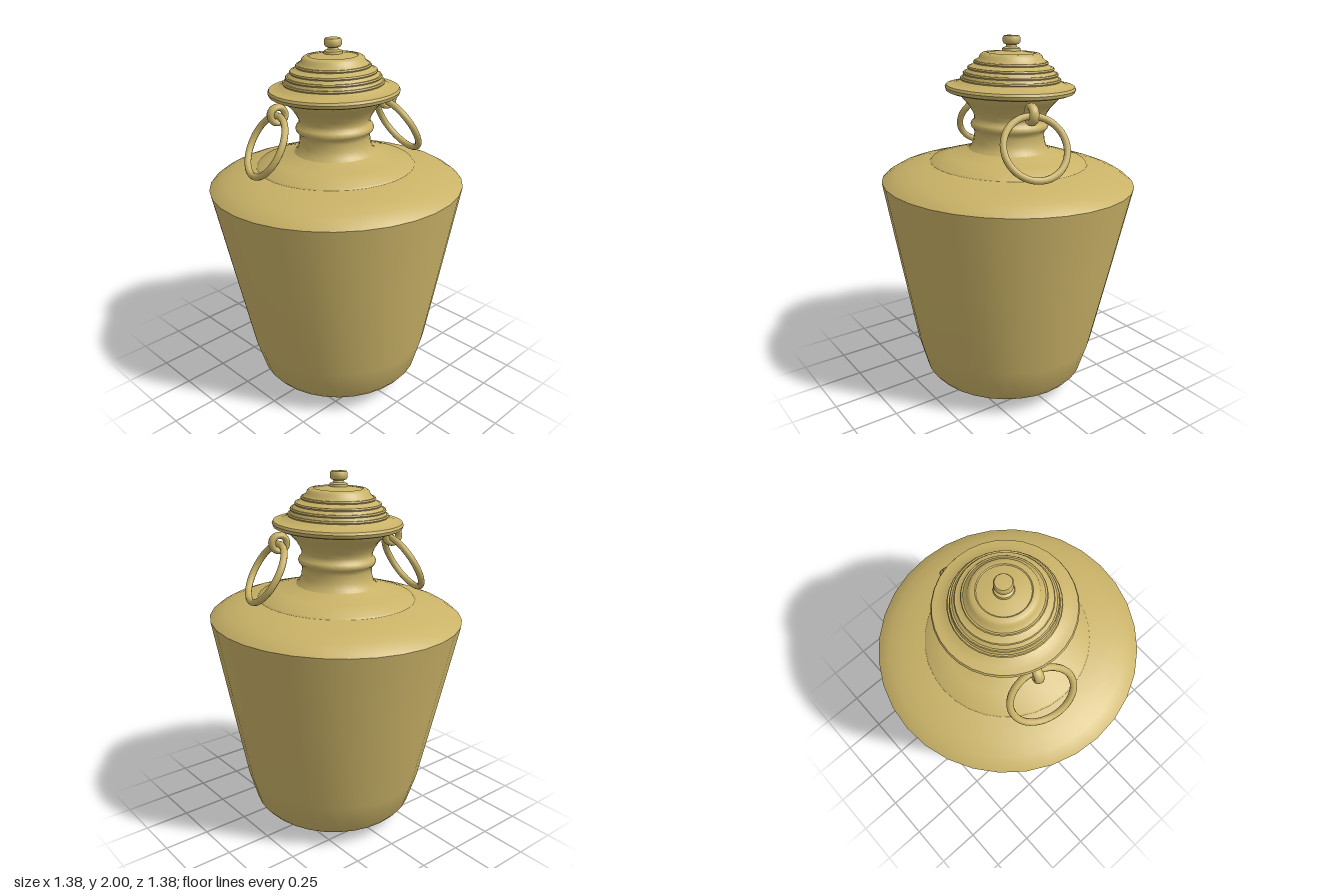
import * as THREE from 'three';
import { toCreasedNormals } from 'three/addons/utils/BufferGeometryUtils.js';

const brass = new THREE.MeshStandardMaterial({ color: 0xc9b267 });

function add(parent, name, geometry) {
  const mesh = new THREE.Mesh(geometry, brass);
  mesh.name = name;
  parent.add(mesh);
  return mesh;
}

// Turned part from [radius, height] pairs, listed from the bottom up.
// Creased at ten times the size so that fine ridges stay distinct.
function turned(profile, crease = 0.6) {
  const points = profile.map(([r, y]) => new THREE.Vector2(r * 10, y * 10));
  const geometry = toCreasedNormals(new THREE.LatheGeometry(points, 32), crease);
  return geometry.scale(0.1, 0.1, 0.1);
}

// Loose carrying ring hanging outwards from a lug under the lid
function carryingRing(name, turn) {
  const group = new THREE.Group();
  group.name = name;
  group.rotation.y = turn;
  const lug = add(group, 'lug', new THREE.TorusGeometry(0.04, 0.018, 10, 24));
  lug.rotation.y = Math.PI / 2;
  lug.scale.z = 1.4;
  lug.position.set(0, 1.645, 0.325);
  const ring = add(group, 'ring', new THREE.TorusGeometry(0.166, 0.018, 10, 40));
  ring.rotation.x = -0.53;
  ring.position.set(0, 1.492, 0.4);
  return group;
}

export function createModel() {
  const model = new THREE.Group();
  model.name = 'lidded jar';

  // The whole jar leans slightly to one side
  const jar = new THREE.Group();
  jar.name = 'jar';
  jar.rotation.z = 0.029;
  jar.position.x = 0.032;
  model.add(jar);

  // Tapered body with rounded foot and sloping shoulder
  add(jar, 'body', turned([
    [0, 0.008], [0.18, 0.008], [0.28, 0.03], [0.37, 0.065], [0.43, 0.1], [0.455, 0.13],
    [0.505, 0.3], [0.6, 0.78], [0.688, 1.23],
    [0.665, 1.25], [0.62, 1.277], [0.55, 1.303], [0.48, 1.322], [0.428, 1.333],
    [0.42, 1.342], [0.32, 1.372], [0.24, 1.395], [0.21, 1.41],
  ]));

  // Neck with a raised band, flaring out to the mouth
  add(jar, 'neck', turned([
    [0.23, 1.395], [0.205, 1.42], [0.193, 1.45], [0.188, 1.49], [0.192, 1.51],
    [0.204, 1.52], [0.21, 1.535], [0.204, 1.55], [0.192, 1.56], [0.19, 1.58],
    [0.2, 1.605], [0.222, 1.64], [0.25, 1.67], [0.275, 1.7], [0.28, 1.715],
  ], 0.9));

  // Domed lid with a broad rim and stepped ridges
  const lid = [
    [0, 1.705], [0.27, 1.705], [0.325, 1.708], [0.341, 1.715], [0.347, 1.732],
    [0.341, 1.745], [0.325, 1.748], [0.3, 1.752], [0.278, 1.762],
  ];
  for (const [r, y] of [[0.264, 1.78], [0.249, 1.808], [0.226, 1.836], [0.194, 1.866]]) {
    lid.push([r, y - 0.01], [r + 0.004, y - 0.003], [r, y + 0.004], [r - 0.008, y + 0.004]);
  }
  lid.push([0.168, 1.886], [0.163, 1.9], [0.15, 1.91], [0.13, 1.913],
    [0.125, 1.909], [0.1, 1.914], [0.05, 1.922], [0, 1.924]);
  add(jar, 'lid', turned(lid));

  // Knob on a short waisted stem
  add(jar, 'knob', turned([
    [0.05, 1.918], [0.047, 1.935], [0.03, 1.942], [0.026, 1.952], [0.04, 1.957],
    [0.046, 1.967], [0.046, 1.988], [0.04, 1.998], [0, 2.0],
  ]));

  // Front and back carrying rings, half a turn apart
  jar.add(carryingRing('frontRing', -0.28), carryingRing('backRing', Math.PI - 0.28));
  return model;
}
